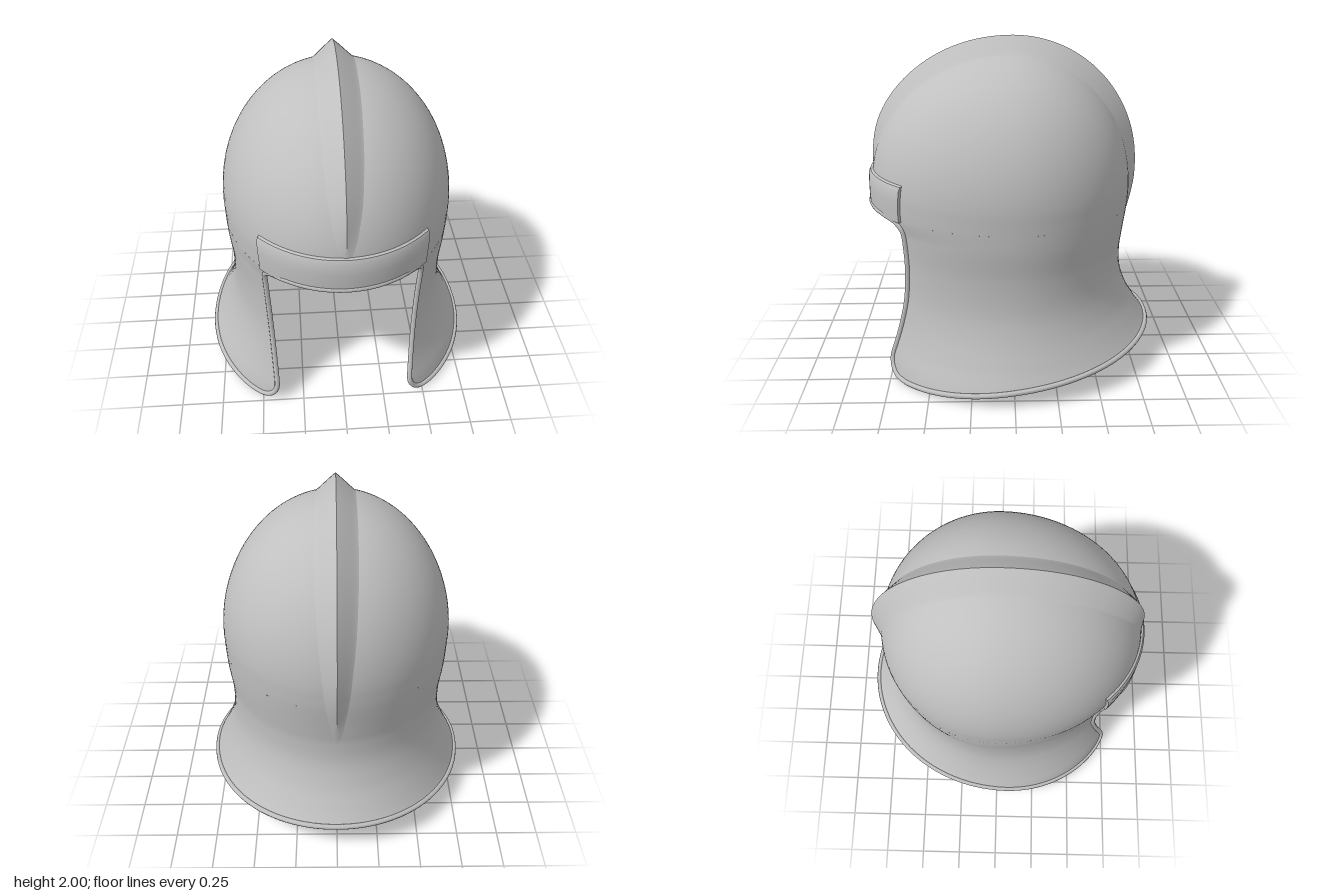
import * as THREE from 'three';
import { toCreasedNormals } from 'three/addons/utils/BufferGeometryUtils.js';

const { sin, cos, sqrt, max, min, PI } = Math;

// Smooth curve through [t, value] pairs
function smooth(table) {
  const slope = i => {
    const a = table[max(i - 1, 0)], b = table[min(i + 1, table.length - 1)];
    return (b[1] - a[1]) / (b[0] - a[0]);
  };
  return t => {
    let i = 0;
    while (i < table.length - 2 && t > table[i + 1][0]) i++;
    const [t0, v0] = table[i], [t1, v1] = table[i + 1], h = t1 - t0;
    const s = min(max((t - t0) / h, 0), 1), s2 = s * s, s3 = s2 * s;
    return (2 * s3 - 3 * s2 + 1) * v0 + (s3 - 2 * s2 + s) * h * slope(i)
      + (3 * s2 - 2 * s3) * v1 + (s3 - s2) * h * slope(i + 1);
  };
}

// Wall radii by height: sides, front, back; above DOME_Y an ellipsoid takes over
const DOME_Y = 1.1, DOME_H = 0.81;
const side = smooth([[0, 0.86], [0.1, 0.815], [0.2, 0.765], [0.35, 0.705], [0.5, 0.67], [0.7, 0.665], [0.9, 0.685], [1.1, 0.692]]);
const front = smooth([[0, 0.865], [0.1, 0.86], [0.25, 0.84], [0.4, 0.83], [0.6, 0.825], [0.9, 0.83], [1, 0.86], [1.1, 0.865]]);
const back = smooth([[0, 1.05], [0.1, 0.965], [0.21, 0.865], [0.3, 0.8], [0.4, 0.742], [0.55, 0.69], [0.7, 0.68], [0.8, 0.69], [1, 0.715], [1.1, 0.72]]);

// Angle 0 is the front, a quarter turn is +x
function wall(angle, y) {
  const k = y > DOME_Y ? sqrt(max(0, 1 - ((y - DOME_Y) / DOME_H) ** 2)) : 1;
  const c = cos(angle);
  return new THREE.Vector3(side(y) * k * sin(angle), y, (c > 0 ? front(y) : back(y)) * k * c);
}

function normalAt({ x, y, z }) {
  const depth = z > 0 ? front : back, X = side(y), D = depth(y);
  let ny;
  if (y > DOME_Y) ny = (y - DOME_Y) / DOME_H ** 2;
  else {
    const e = 0.004;
    const dX = (side(y + e) - side(y - e)) / (2 * e), dD = (depth(y + e) - depth(y - e)) / (2 * e);
    ny = -(x * x * dX / X ** 3 + z * z * dD / D ** 3);
  }
  return new THREE.Vector3(x / X ** 2, ny, z / D ** 2).normalize();
}

// Grid surface from point(i, j); columns run left to right seen from outside, rows upward
function grid(nu, nv, point, useWallNormals) {
  const pos = [], nor = [], index = [];
  for (let j = 0; j <= nv; j++) for (let i = 0; i <= nu; i++) {
    const p = point(i, j);
    pos.push(p.x, p.y, p.z);
    if (useWallNormals) nor.push(...normalAt(p).toArray());
    if (i < nu && j < nv) {
      const a = j * (nu + 1) + i, b = a + 1, c = a + nu + 1, d = c + 1;
      index.push(a, b, d, a, d, c);
    }
  }
  const g = new THREE.BufferGeometry();
  g.setAttribute('position', new THREE.Float32BufferAttribute(pos, 3));
  g.setIndex(index);
  if (useWallNormals) {
    g.setAttribute('normal', new THREE.Float32BufferAttribute(nor, 3));
    return g;
  }
  return toCreasedNormals(g, 0.5);
}

// Face opening: half-width narrows downward, rounded at the brow corners
const BROW_Y = 1.0;
function openingAngle(y) {
  let x = 0.41 + 0.035 * min(max((y - 0.15) / 0.75, 0), 1);
  const f = min(max((y - 0.94) / 0.06, 0), 1);
  x -= 0.06 * (1 - sqrt(1 - f * f));
  return Math.asin(x / side(y));
}

// Slanted hem, rounded up into the cheek edges
function hemY(u) {
  const a = 0.55 + (2 * PI - 1.1) * u;
  const z = cos(a) * (cos(a) > 0 ? 0.86 : 0.87);
  const r = 0.12, d = min(min(u, 1 - u) * 4.2, r);
  return 0.016 + max(0, 0.62 - z) * 0.128 + r - sqrt(r * r - (r - d) ** 2);
}

const ease = t => (1 - cos(PI * t)) / 2;
function skirtPoint(u, v) {
  const y = hemY(u) + (BROW_Y - hemY(u)) * v, a = openingAngle(y);
  return wall(a + (2 * PI - 2 * a) * u, y);
}

export function createModel() {
  const group = new THREE.Group();
  const steel = new THREE.MeshStandardMaterial({ color: 0xc0c0c0, side: THREE.DoubleSide });
  steel.name = 'steel grey';
  const add = (name, geometry) => {
    const mesh = new THREE.Mesh(geometry, steel);
    mesh.name = name;
    group.add(mesh);
  };

  // Cheeks and neck guard
  const NU = 120, NV = 44;
  add('cheekAndNeckGuard', grid(NU, NV, (i, j) => skirtPoint(ease(i / NU), ease(j / NV)), true));

  // Skull
  add('skull', grid(96, 36, (i, j) => {
    const y = j < 4 ? BROW_Y + j * 0.025 : DOME_Y + DOME_H * sin((j - 4) / 32 * PI / 2);
    return wall(i / 96 * 2 * PI, y);
  }, true));

  // Crest over the top: angle from the front in degrees, past 180 it runs down the back
  const crestHeight = smooth([[0, 0], [8, 0.005], [30, 0.062], [60, 0.089], [90, 0.093], [130, 0.092], [155, 0.076], [180, 0.042], [205, 0.012], [225, 0]]);
  add('crest', grid(20, 80, (i, j) => {
    const t = 225 - 220 * j / 80, h = crestHeight(t);
    const q = i / 10 - 1, x = -q * (0.05 + 0.075 * h / 0.093);
    const p = new THREE.Vector3(x, 0, 0);
    if (t > 180) {
      p.y = DOME_Y - (t - 180) / 100;
      p.z = -back(p.y) * sqrt(1 - (x / side(p.y)) ** 2);
    } else {
      const a = t * PI / 180, s = sqrt(1 - (x / side(DOME_Y)) ** 2);
      p.y = DOME_Y + DOME_H * s * sin(a);
      p.z = (t < 90 ? front(DOME_Y) : back(DOME_Y)) * s * cos(a);
    }
    return p.addScaledVector(normalAt(p), h * (1 - Math.abs(q)) ** 1.25 - 0.003);
  }));

  // Brow band with closed ends
  const band = [[1.0, -0.005], [1.0, 0.018], [1.06, 0.018], [1.12, 0.018], [1.19, 0.02], [1.215, 0.012], [1.225, -0.005]];
  add('browBand', grid(40, band.length - 1, (i, j) => {
    const [y, off] = band[j];
    const s = min(max((i - 1) / 38, 0), 1) * 2 - 1;
    const half = Math.asin((0.455 + 0.06 * max(0, y - 1.03)) / side(y));
    const p = wall(s * half, y);
    const out = i === 0 || i === 40 ? -0.005 : off;
    return p.add(new THREE.Vector3(p.x / side(y) ** 2, 0, p.z / front(y) ** 2).setLength(out < 0 ? 0.005 : out).multiplyScalar(out < 0 ? -1 : 1));
  }));

  // Rolled bead around the hem, cheek edges and brow
  const path = [];
  for (let k = 0; k < 30; k++) path.push(skirtPoint(0, ease(1 - k / 30)));
  for (let k = 0; k < 90; k++) path.push(skirtPoint(ease(k / 90), 0));
  for (let k = 0; k < 30; k++) path.push(skirtPoint(1, ease(k / 30)));
  const a = openingAngle(BROW_Y);
  for (let k = 0; k < 24; k++) {
    const s = k / 24 * 2 - 1, p = wall(s * a, BROW_Y + 0.014 * min(1, (1 - Math.abs(s)) * 6));
    p.z += 0.01 * min(1, (1 - Math.abs(s)) * 6);
    path.push(p);
  }
  add('rolledRim', new THREE.TubeGeometry(new THREE.CatmullRomCurve3(path, true), 480, 0.016, 8, true));

  return group;
}
